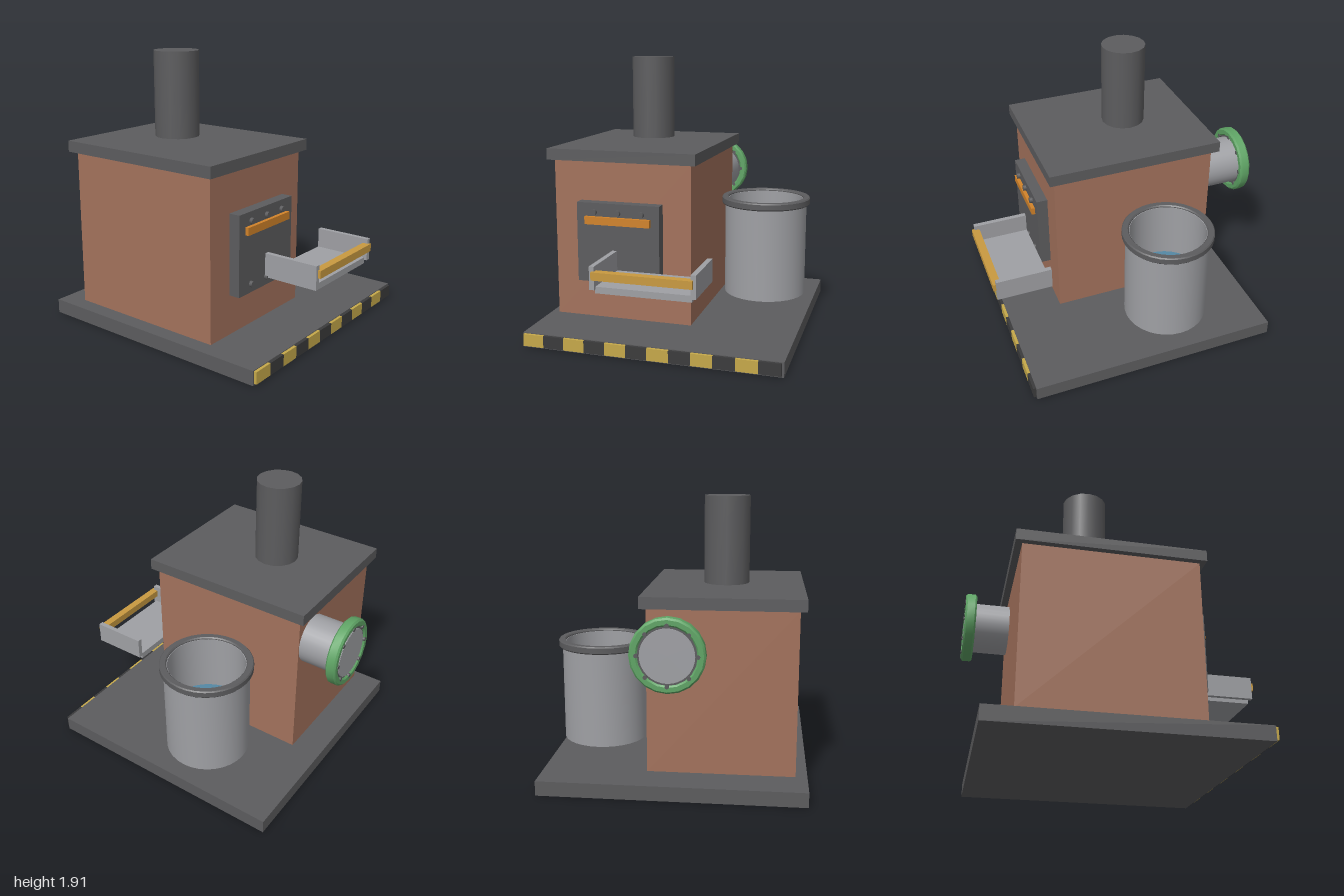
import * as THREE from 'three';
import { toCreasedNormals } from 'three/addons/utils/BufferGeometryUtils.js';

const mat = (name, color) => {
  const m = new THREE.MeshStandardMaterial({ color });
  m.name = name;
  return m;
};

export function createModel() {
  const iron = mat('dark iron', 0x5c5c5e);
  const black = mat('black stripe', 0x3b3b3c);
  const yellow = mat('yellow stripe', 0xc6a94a);
  const brick = mat('brick', 0xa3725c);
  const steel = mat('steel', 0x9fa0a4);
  const orange = mat('orange handle', 0xd2832a);
  const amber = mat('amber bar', 0xc99a40);
  const green = mat('green flange', 0x5fa465);
  const water = mat('water', 0x5588a4);

  const model = new THREE.Group();
  model.name = 'smelter';

  const add = (name, geometry, material, x = 0, y = 0, z = 0, parent = model) => {
    const mesh = new THREE.Mesh(geometry, material);
    mesh.name = name;
    mesh.position.set(x, y, z);
    parent.add(mesh);
    return mesh;
  };
  // Box given by its extents on each axis
  const box = (name, material, [x0, x1], [y0, y1], [z0, z1], parent) =>
    add(name, new THREE.BoxGeometry(x1 - x0, y1 - y0, z1 - z0), material,
      (x0 + x1) / 2, (y0 + y1) / 2, (z0 + z1) / 2, parent);
  // Turned part with crisp corners
  const lathe = (points, segments) => toCreasedNormals(
    new THREE.LatheGeometry(points.map(p => new THREE.Vector2(...p)), segments), 0.6);
  // Cylinder lying along z
  const rod = (r, length, segments) =>
    new THREE.CylinderGeometry(r, r, length, segments).rotateX(Math.PI / 2);

  // Base slab with hazard stripes along the front edge
  box('base', iron, [-0.885, 0.885], [0, 0.1], [-0.89, 0.88]);
  const stripes = new THREE.Group();
  stripes.name = 'hazardStripes';
  model.add(stripes);
  const w = 0.1455;
  for (let i = 0; i < 12; i++) {
    const x = -0.875 + i * w;
    box('stripe', i % 2 ? black : yellow, [x, x + w], [0.012, 0.095], [0.875, 0.9], stripes);
  }

  // Furnace body, lid and chimney
  box('furnaceBody', brick, [-0.805, 0.175], [0.12, 1.225], [-0.69, 0.488]);
  box('lid', iron, [-0.847, 0.215], [1.225, 1.303], [-0.735, 0.527]);
  add('chimney', new THREE.CylinderGeometry(0.155, 0.155, 0.59, 16), iron, -0.316, 1.62, -0.2);

  // Door with handle and two rows of rivets
  const door = new THREE.Group();
  door.name = 'door';
  model.add(door);
  box('doorPlate', iron, [-0.612, -0.022], [0.397, 0.95], [0.48, 0.567], door);
  box('doorHandle', orange, [-0.548, -0.083], [0.805, 0.858], [0.565, 0.593], door);
  for (const x of [-0.486, -0.316, -0.148])
    for (const y of [0.888, 0.457])
      add('rivet', rod(0.021, 0.024, 10), iron, x, y, 0.577, door);

  // Pouring tray in front of the door
  const tray = new THREE.Group();
  tray.name = 'tray';
  model.add(tray);
  box('trayFloor', steel, [-0.32, 0.32], [0.452, 0.496], [0.585, 0.96], tray);
  for (const s of [-1, 1]) {
    const x = s * 0.334;
    box('traySide', steel, [x - 0.017, x + 0.017], [0.478, 0.632], [0.585, 0.98], tray);
  }
  box('trayBar', amber, [-0.333, 0.333], [0.547, 0.6], [0.945, 1], tray);

  // Open barrel with a rim and liquid inside
  const barrel = new THREE.Group();
  barrel.name = 'barrel';
  barrel.position.set(0.547, 0, -0.2);
  model.add(barrel);
  add('barrelWall', lathe([[0, 0.2], [0.295, 0.2], [0.295, 0.9], [0.266, 0.9],
    [0.266, 0.23], [0, 0.23]], 32), steel, 0, 0, 0, barrel);
  add('barrelRim', lathe([[0.27, 0.862], [0.313, 0.862], [0.32, 0.87], [0.32, 0.907], [0.313, 0.915],
    [0.278, 0.915], [0.27, 0.907], [0.27, 0.862]], 32), iron, 0, 0, 0, barrel);
  add('liquid', new THREE.CylinderGeometry(0.264, 0.264, 0.02, 32), water, 0, 0.49, 0, barrel);

  // Rear pipe ending in a bolted flange
  const pipe = new THREE.Group();
  pipe.name = 'rearPipe';
  pipe.position.set(0, 0.988, 0);
  model.add(pipe);
  add('pipe', rod(0.172, 0.31, 32), steel, 0, 0, -0.835, pipe);
  add('flangePlate', rod(0.19, 0.048, 24), iron, 0, 0, -0.959, pipe);
  add('flangeRing', lathe([[0.186, -0.028], [0.196, -0.0375], [0.226, -0.0375], [0.238, -0.026],
    [0.238, 0.026], [0.226, 0.0375], [0.196, 0.0375], [0.186, 0.028], [0.186, -0.028]], 20)
    .rotateX(-Math.PI / 2), green, 0, 0, -0.9585, pipe);
  add('pipeCap', rod(0.168, 0.02, 32), steel, 0, 0, -0.982, pipe);
  for (let i = 0; i < 8; i++) {
    const a = i * Math.PI / 4;
    add('flangeBolt', rod(0.014, 0.08, 8), iron,
      0.19 * Math.cos(a), 0.19 * Math.sin(a), -0.96, pipe);
  }
  return model;
}
